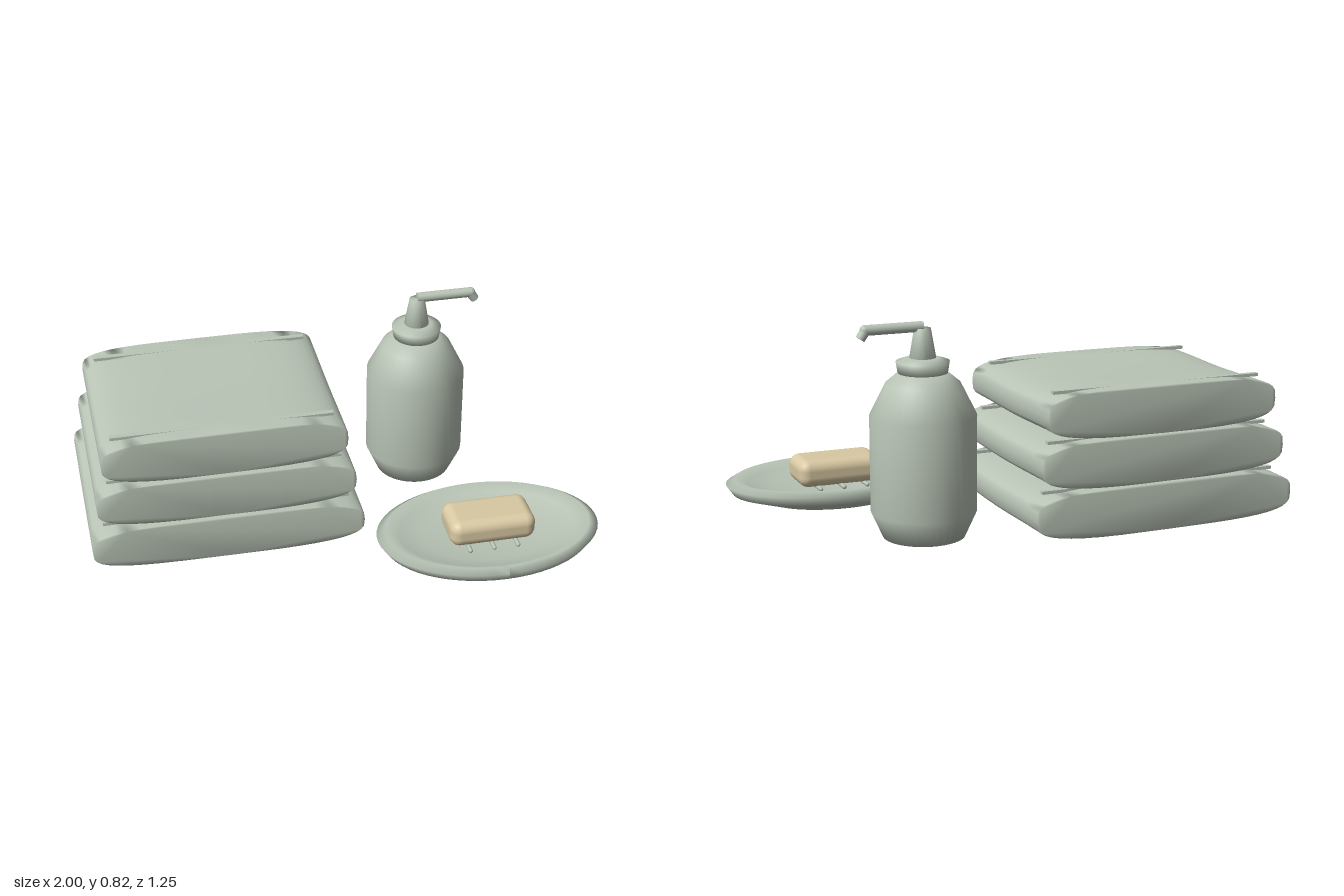
import * as THREE from 'three';
import { mergeVertices } from 'three/addons/utils/BufferGeometryUtils.js';
import { RoundedBoxGeometry } from 'three/addons/geometries/RoundedBoxGeometry.js';

export function createModel() {
  const sage = new THREE.MeshStandardMaterial({ color: 0xb9c4b6 });
  sage.name = 'sage ceramic and cotton';
  const cream = new THREE.MeshStandardMaterial({ color: 0xd9c9a3 });
  cream.name = 'cream soap';

  const model = new THREE.Group();
  model.name = 'bathroomSet';

  function group(name, x, y, z) {
    const g = new THREE.Group();
    g.name = name;
    g.position.set(x, y, z);
    model.add(g);
    return g;
  }
  function add(parent, name, geometry, material, x = 0, y = 0, z = 0) {
    const mesh = new THREE.Mesh(geometry, material);
    mesh.name = name;
    mesh.position.set(x, y, z);
    parent.add(mesh);
    return mesh;
  }
  const lathe = (profile, segments = 40) =>
    new THREE.LatheGeometry(profile.map(([r, y]) => new THREE.Vector2(r, y)), segments);

  // Folded towel: a squashed oval section run along z, gently waved, with soft normals
  function towelGeometry(halfW, halfH, halfD, phase) {
    const power = 2 / 3.5;
    const points = [];
    for (let i = 0; i < 40; i++) {
      const a = (i / 40) * Math.PI * 2;
      const c = Math.cos(a), s = Math.sin(a);
      points.push(new THREE.Vector2(
        halfW * Math.sign(c) * Math.abs(c) ** power,
        halfH * Math.sign(s) * Math.abs(s) ** power));
    }
    let geo = new THREE.ExtrudeGeometry(new THREE.Shape(points),
      { depth: halfD * 2, steps: 8, bevelEnabled: false });
    geo.translate(0, 0, -halfD);
    geo.deleteAttribute('normal');
    geo.deleteAttribute('uv');
    geo = mergeVertices(geo, 1e-4);
    const pos = geo.attributes.position;
    for (let i = 0; i < pos.count; i++) {
      const wave = Math.sin(pos.getX(i) * 5 + phase) * 0.5 + Math.cos(pos.getZ(i) * 9);
      pos.setY(i, pos.getY(i) - 0.003 * wave);
    }
    geo.computeVertexNormals();
    return geo;
  }

  // Three stacked towels, each smaller than the one below, with two hem strips
  for (let i = 0; i < 3; i++) {
    const halfW = 0.54 - i * 0.03;
    const halfD = 0.405 - i * 0.0185;
    const towel = group('towel' + (i + 1), -0.46, 0.097 + i * 0.184, -0.225);
    add(towel, 'foldedCloth', towelGeometry(halfW, 0.092, halfD, i), sage);
    for (const side of [-1, 1]) {
      add(towel, 'hemStrip', new THREE.BoxGeometry(halfW * 1.81, 0.012, 0.022), sage,
        0, 0.087, side * halfD * 0.815);
    }
  }

  // Pump bottle
  const bottle = group('pumpBottle', 0.405, 0, -0.32);
  add(bottle, 'bottleBody', lathe([
    [0, 0], [0.155, 0], [0.2, 0.1], [0.2, 0.465], [0.14, 0.585], [0.09, 0.627], [0, 0.627],
  ]), sage);
  add(bottle, 'collar', lathe([
    [0, 0.622], [0.093, 0.622], [0.1, 0.667], [0.062, 0.68], [0, 0.682],
  ]), sage);
  add(bottle, 'pumpNeck', lathe([
    [0, 0.665], [0.052, 0.668], [0.031, 0.79], [0, 0.79],
  ], 24), sage);

  // Spout with a short drooping tip
  const spout = add(bottle, 'spout',
    new THREE.CylinderGeometry(0.02, 0.02, 0.225, 16), sage, 0.1125, 0.796, 0);
  spout.rotation.z = -Math.PI / 2;
  const tip = add(bottle, 'spoutTip',
    new THREE.CylinderGeometry(0.02, 0.018, 0.042, 16), sage, 0.229, 0.782, 0);
  tip.rotation.z = 0.6;
  add(bottle, 'spoutElbow', new THREE.SphereGeometry(0.02, 16, 10), sage, 0.222, 0.796, 0);

  // Oval soap dish: a round lathe stretched along x and z
  const dish = group('soapDish', 0.548, 0, 0.317);
  const dishGeometry = lathe([
    [0, 0], [0.6, 0], [0.94, 0.047], [1, 0.085], [0.92, 0.105],
    [0.8, 0.084], [0.6, 0.064], [0.3, 0.053], [0, 0.05],
  ], 56);
  dishGeometry.scale(0.447, 1, 0.308);
  dishGeometry.computeVertexNormals();
  add(dish, 'dishBowl', dishGeometry, sage);

  // Three drain ribs beneath the soap
  for (const i of [-1, 0, 1]) {
    const rib = add(dish, 'drainRib',
      new THREE.CapsuleGeometry(0.009, 0.215, 4, 10), sage, i * 0.097 - 0.003, 0.066, 0.002);
    rib.rotation.x = Math.PI / 2;
  }
  add(dish, 'soapBar', new RoundedBoxGeometry(0.346, 0.11, 0.196, 5, 0.042), cream, 0, 0.123, 0);

  return model;
}
